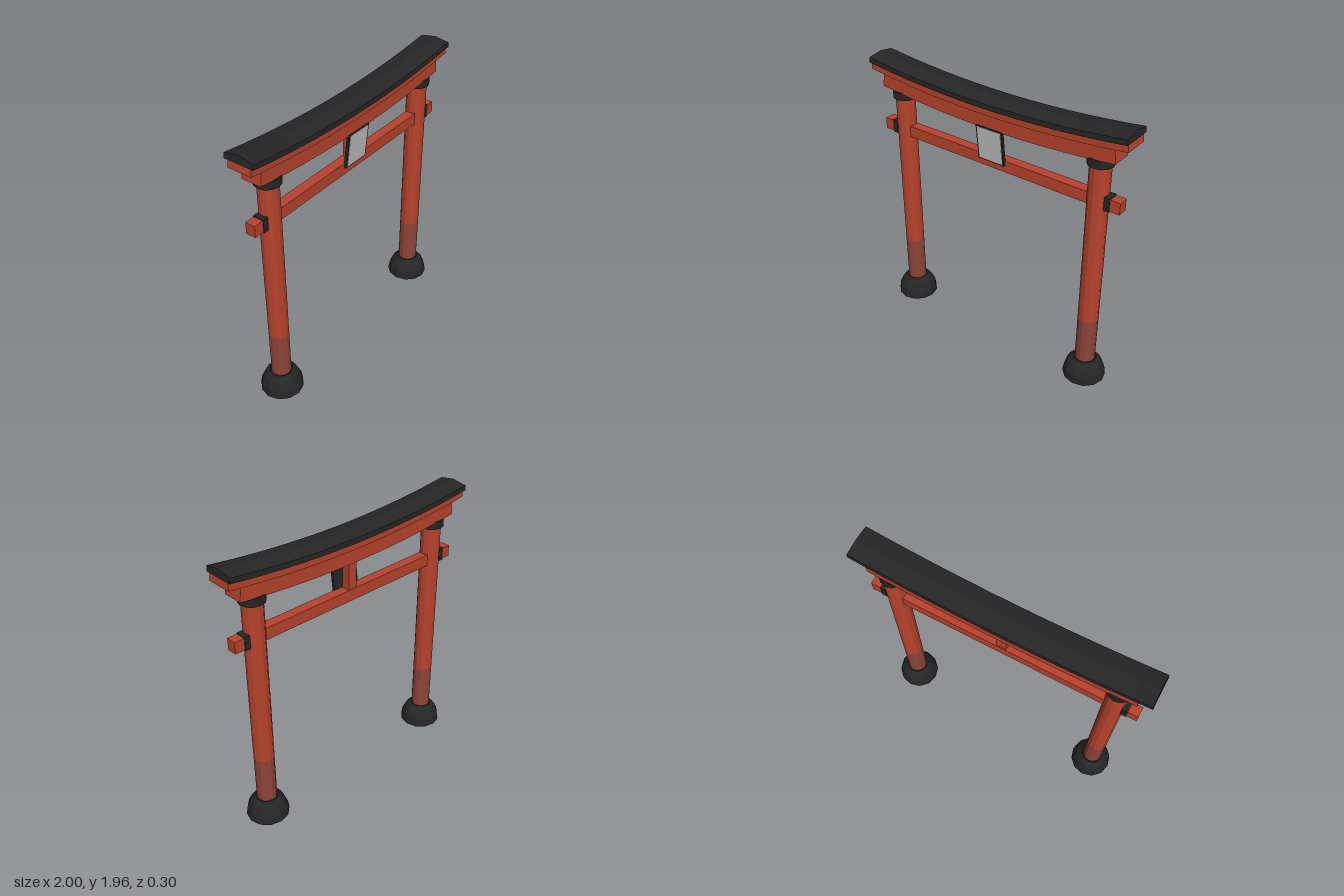
import * as THREE from 'three';

const mat = (name, color) => {
  const m = new THREE.MeshStandardMaterial({ color, flatShading: true });
  m.name = name;
  return m;
};

export function createModel() {
  const red = mat('vermilion', 0xb8432d);
  const faded = mat('fadedRed', 0x8e443a);
  const black = mat('black', 0x262626);
  const grey = mat('plaqueGrey', 0xc4c4c4);

  const gate = new THREE.Group();
  gate.name = 'gate';

  const add = (parent, name, geometry, material, x = 0, y = 0, z = 0) => {
    const mesh = new THREE.Mesh(geometry, material);
    mesh.name = name;
    mesh.position.set(x, y, z);
    parent.add(mesh);
    return mesh;
  };
  const box = (w, h, d) => new THREE.BoxGeometry(w, h, d);
  const cyl = (r, h) => new THREE.CylinderGeometry(r, r, h, 12);

  // Beam with a (z, y) cross-section, swept along x and bowed up at the ends
  const RISE = 0.066;
  const bowed = (profile, half) => {
    const shape = new THREE.Shape(profile.map(([z, y]) => new THREE.Vector2(z, y)));
    const g = new THREE.ExtrudeGeometry(shape, { depth: half * 2, steps: 16, bevelEnabled: false });
    g.translate(0, 0, -half).rotateY(Math.PI / 2);
    const p = g.attributes.position;
    for (let i = 0; i < p.count; i++) {
      const x = p.getX(i), y = p.getY(i);
      p.setXY(i, x - 2 * RISE * x * y, y + RISE * x * x);
    }
    g.computeVertexNormals();
    return g;
  };
  const rect = (z, h) => [[-z, 0], [z, 0], [z, h], [-z, h]];

  // Pillars with stone bases, faded feet, collars and wedges
  const baseProfile = [[0, 0], [0.15, 0], [0.141, 0.06], [0.118, 0.11], [0.078, 0.15], [0, 0.15]]
    .map(([r, y]) => new THREE.Vector2(r, y));
  for (const side of [-1, 1]) {
    const pillar = new THREE.Group();
    pillar.name = side > 0 ? 'leftPillar' : 'rightPillar';
    pillar.position.x = side * 0.783;
    gate.add(pillar);
    add(pillar, 'base', new THREE.LatheGeometry(baseProfile, 12), black);
    add(pillar, 'foot', cyl(0.07, 0.38), faded, 0, 0.31);
    add(pillar, 'shaft', cyl(0.07, 1.23), red, 0, 1.115);
    add(pillar, 'collar', cyl(0.087, 0.055), black, 0, 1.7075);
    add(pillar, 'wedge', box(0.04, 0.094, 0.08), black, side * 0.082, 1.438);
  }

  // Tie beam and centre strut
  add(gate, 'tieBeam', box(1.91, 0.082, 0.072), red, 0, 1.438);
  add(gate, 'strut', box(0.07, 0.24, 0.06), red, 0, 1.59);

  // Bowed lintels and ridged roof cap
  add(gate, 'lowerLintel', bowed(rect(0.0725, 0.098), 0.916), red, 0, 1.69);
  add(gate, 'upperLintel', bowed(rect(0.088, 0.054), 0.999), red, 0, 1.79);
  add(gate, 'roofCap', bowed([[-0.108, 0], [0.108, 0], [0.108, 0.036], [0, 0.054], [-0.108, 0.036]], 0.999),
    black, 0, 1.842);

  // Plaque leaning forward
  const plaque = new THREE.Group();
  plaque.name = 'plaque';
  plaque.position.set(0, 1.572, 0.052);
  plaque.rotation.x = 0.11;
  gate.add(plaque);
  add(plaque, 'plaqueFrame', box(0.208, 0.256, 0.02), black);
  add(plaque, 'plaqueFace', box(0.186, 0.236, 0.004), grey, 0, 0, 0.011);

  return gate;
}
